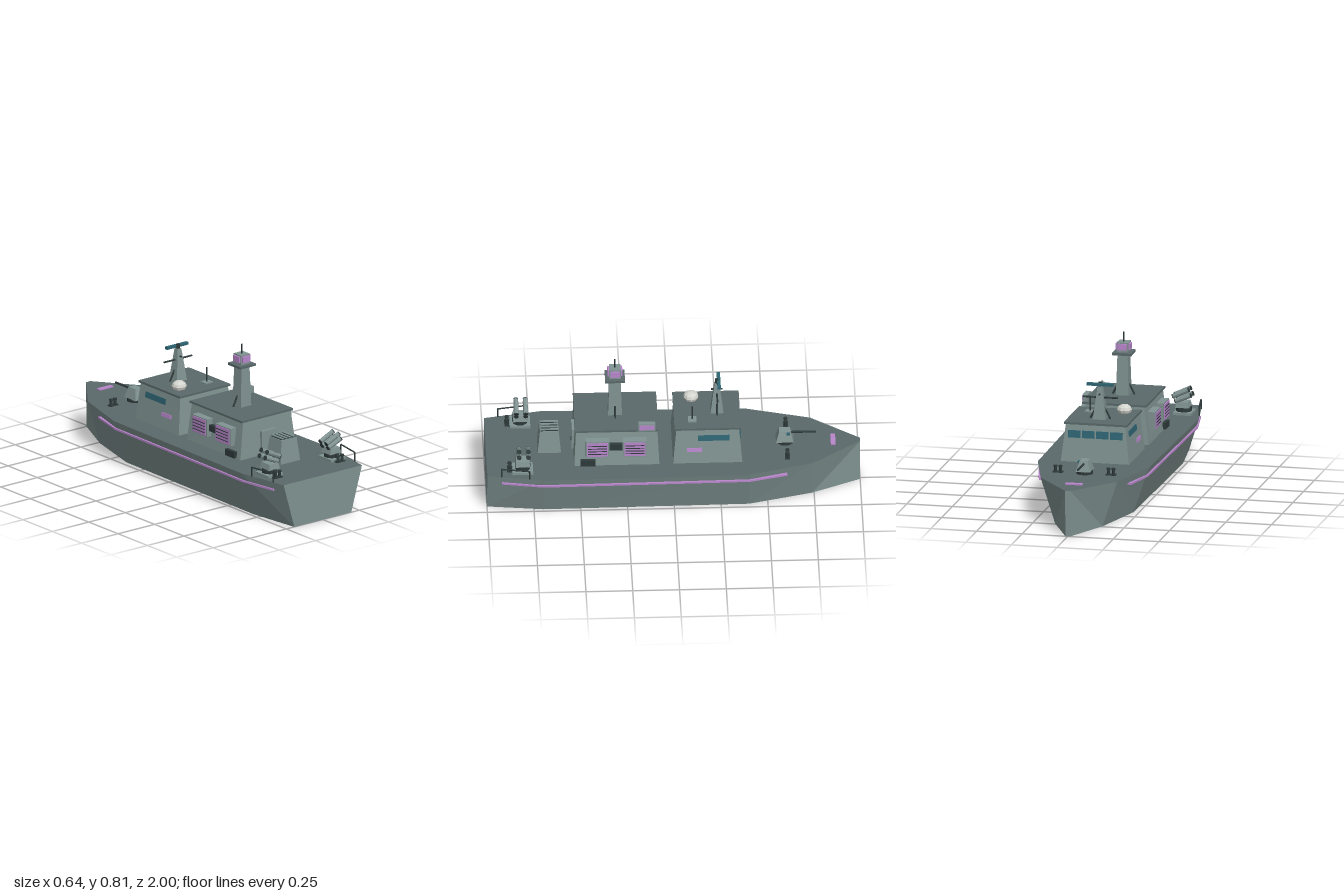
import * as THREE from 'three';

const mat = (name, color) => Object.assign(new THREE.MeshStandardMaterial({ color, flatShading: true }), { name });

export function createModel() {
  const ship = new THREE.Group();
  ship.name = 'patrolShip';
  const grey = mat('hull grey', 0x809392), deckMat = mat('deck grey', 0x5a696a);
  const dark = mat('dark metal', 0x2f3a3b), teal = mat('teal', 0x2f6674);
  const violet = mat('violet', 0xba87cd), white = mat('radome white', 0xd6d6d0);

  const add = (name, geo, m, x = 0, y = 0, z = 0, parent = ship) => {
    const mesh = new THREE.Mesh(geo, m);
    mesh.name = name;
    mesh.position.set(x, y, z);
    parent.add(mesh);
    return mesh;
  };
  // Box standing between two heights
  const box = (name, m, x, y0, y1, z, w, d, parent) =>
    add(name, new THREE.BoxGeometry(w, y1 - y0, d), m, x, (y0 + y1) / 2, z, parent);
  // Box whose top is narrower than its base
  const taper = (name, m, x, y0, y1, z, wb, db, wt, dt, parent) => {
    const mesh = box(name, m, x, y0, y1, z, wb, db, parent);
    const p = mesh.geometry.attributes.position;
    for (let i = 0; i < p.count; i++)
      if (p.getY(i) > 0) { p.setX(i, p.getX(i) * wt / wb); p.setZ(i, p.getZ(i) * dt / db); }
    mesh.geometry.computeVertexNormals();
    return mesh;
  };
  // Cylinder or square bar between two points
  const rod = (name, m, a, b, r, parent, sides = 8) => {
    const A = new THREE.Vector3(...a), B = new THREE.Vector3(...b), d = B.clone().sub(A);
    const mesh = add(name, new THREE.CylinderGeometry(r, r, d.length(), sides), m, 0, 0, 0, parent);
    mesh.position.copy(A).add(B).multiplyScalar(0.5);
    mesh.quaternion.setFromUnitVectors(new THREE.Vector3(0, 1, 0), d.normalize());
    return mesh;
  };

  // Hull stations, bow to stern: z, half width at bottom, half width at deck
  const st = [[-1, 0.012, 0.015], [-0.74, 0.13, 0.21], [-0.4, 0.22, 0.305], [0.7, 0.232, 0.32], [1, 0.195, 0.268]];
  const H = 0.25, hullPos = [], deckPos = [];
  const quad = (out, a, b, c, d) => out.push(...a, ...b, ...c, ...a, ...c, ...d);
  const pt = (s, side, top) => [side * s[top ? 2 : 1], top ? H : 0, s[0]];
  for (let i = 0; i < st.length - 1; i++) {
    const f = st[i], g = st[i + 1];
    quad(hullPos, pt(g, 1, 0), pt(f, 1, 0), pt(f, 1, 1), pt(g, 1, 1));
    quad(hullPos, pt(g, -1, 0), pt(g, -1, 1), pt(f, -1, 1), pt(f, -1, 0));
    // Mirror the diagonal crease on the port and starboard plating
    quad(hullPos, pt(f, -1, 0), pt(f, 1, 0), pt(g, 1, 0), pt(g, -1, 0));
    quad(deckPos, pt(g, -1, 1), pt(g, 1, 1), pt(f, 1, 1), pt(f, -1, 1));
  }
  const bow = st[0], stern = st[4];
  quad(hullPos, pt(stern, -1, 0), pt(stern, 1, 0), pt(stern, 1, 1), pt(stern, -1, 1));
  quad(hullPos, pt(bow, 1, 0), pt(bow, -1, 0), pt(bow, -1, 1), pt(bow, 1, 1));
  for (const [name, pos, m] of [['hull', hullPos, grey], ['deck', deckPos, deckMat]]) {
    const g = new THREE.BufferGeometry();
    g.setAttribute('position', new THREE.Float32BufferAttribute(pos, 3));
    g.computeVertexNormals();
    add(name, g, m);
  }
  box('bowPlate', violet, 0, 0.25, 0.257, -0.855, 0.094, 0.026);

  // Bridge
  taper('bridge', grey, 0, 0.25, 0.455, -0.18, 0.374, 0.37, 0.326, 0.335);
  box('bridgeRoof', deckMat, 0, 0.453, 0.464, -0.18, 0.345, 0.355);
  for (let i = 0; i < 4; i++)
    box('bridgeWindow', teal, (i - 1.5) * 0.077, 0.38, 0.42, -0.352, 0.068, 0.008).rotation.x = 0.097;
  for (const s of [-1, 1]) {
    box('sideWindow', teal, s * 0.17, 0.385, 0.417, -0.212, 0.008, 0.17).rotation.z = s * 0.121;
    box('sidePlate', violet, s * 0.179, 0.32, 0.342, -0.11, 0.008, 0.08).rotation.z = s * 0.121;
  }

  // Bridge mast, spars and radar bar
  taper('radarMast', grey, 0, 0.46, 0.64, -0.235, 0.07, 0.07, 0.026, 0.026);
  rod('radarShaft', dark, [0, 0.635, -0.235], [0, 0.665, -0.235], 0.01);
  box('radarBar', teal, 0, 0.645, 0.66, -0.245, 0.144, 0.018);
  rod('mastSpar', dark, [-0.095, 0.58, -0.235], [0.095, 0.58, -0.235], 0.005);
  rod('mastCrossSpar', dark, [0, 0.6, -0.265], [0, 0.6, -0.205], 0.005);

  // Radome and whip aerial
  rod('radomeBase', dark, [-0.1, 0.46, -0.1], [-0.1, 0.475, -0.1], 0.025);
  add('radome', new THREE.SphereGeometry(0.041, 10, 6), white, -0.1, 0.486, -0.1).scale.y = 0.72;
  box('aerialBase', grey, 0.088, 0.46, 0.47, -0.1, 0.05, 0.045);
  rod('aerial', dark, [0.088, 0.47, -0.1], [0.088, 0.55, -0.1], 0.004);

  // Aft deckhouse
  taper('deckhouse', grey, 0, 0.25, 0.457, 0.306, 0.38, 0.455, 0.326, 0.435);
  box('deckhouseRoof', deckMat, 0, 0.455, 0.466, 0.306, 0.352, 0.445);
  box('aftDoor', grey, 0, 0.265, 0.385, 0.532, 0.1, 0.02);
  box('doorHandle', dark, 0.03, 0.31, 0.33, 0.544, 0.007, 0.006);
  box('roofLocker', grey, 0.164, 0.46, 0.502, 0.145, 0.028, 0.09);
  box('lockerPlate', violet, 0.179, 0.468, 0.496, 0.145, 0.006, 0.08);
  for (const s of [-1, 1]) {
    for (const z of [0.21, 0.41]) {
      box('louverFrame', grey, s * 0.187, 0.317, 0.415, z, 0.046, 0.125);
      box('louverPanel', violet, s * 0.211, 0.323, 0.409, z, 0.006, 0.113);
      for (let i = 0; i < 4; i++)
        box('louverSlat', dark, s * 0.213, 0.338 + i * 0.017, 0.342 + i * 0.017, z, 0.007, 0.1);
    }
    box('ventBox', dark, s * 0.182, 0.35, 0.385, 0.31, 0.03, 0.07);
    box('sideLocker', dark, s * 0.19, 0.255, 0.29, 0.46, 0.03, 0.08);
  }

  // Sensor tower with braces
  taper('tower', grey, 0, 0.46, 0.69, 0.31, 0.07, 0.075, 0.056, 0.06);
  box('towerPlatform', deckMat, 0, 0.688, 0.701, 0.31, 0.106, 0.106);
  box('sensorCore', grey, 0, 0.7, 0.755, 0.31, 0.062, 0.062);
  for (const s of [-1, 1]) {
    box('sensorPanel', violet, s * 0.034, 0.714, 0.748, 0.31, 0.012, 0.05);
    box('sensorPanel', violet, 0, 0.714, 0.748, 0.31 + s * 0.034, 0.05, 0.012);
    rod('towerBrace', dark, [s * 0.06, 0.464, 0.31], [s * 0.03, 0.525, 0.31], 0.005);
    rod('mastBrace', dark, [s * 0.055, 0.464, -0.235], [s * 0.02, 0.53, -0.235], 0.005);
  }
  rod('towerAerial', dark, [0, 0.755, 0.31], [0, 0.808, 0.31], 0.004);

  // Funnel with grille
  taper('funnel', grey, 0, 0.25, 0.38, 0.662, 0.132, 0.125, 0.104, 0.1);
  box('funnelGrille', dark, 0, 0.379, 0.383, 0.662, 0.096, 0.092);
  for (let i = 0; i < 4; i++) box('grilleSlat', grey, (i - 1.5) * 0.025, 0.38, 0.387, 0.662, 0.012, 0.092);

  // Deck gun
  rod('gunBase', dark, [0, 0.25, -0.6], [0, 0.268, -0.6], 0.045, ship, 12);
  taper('gunTurret', grey, 0, 0.266, 0.325, -0.597, 0.08, 0.095, 0.045, 0.06);
  rod('gunBarrel', dark, [0, 0.308, -0.62], [0, 0.308, -0.765], 0.006);
  box('gunSight', teal, 0.028, 0.308, 0.322, -0.615, 0.012, 0.02);

  // Gear repeated on both sides
  for (const s of [-1, 1]) {
    const side = new THREE.Group();
    side.name = s > 0 ? 'leftGear' : 'rightGear';
    ship.add(side);
    for (const [cx, z] of [[0.145, -0.607], [0.213, 0.88]]) {
      box('bollardBase', dark, s * cx, 0.25, 0.256, z, 0.055, 0.026, side);
      for (const d of [-0.014, 0.014]) {
        rod('bollard', dark, [s * (cx + d), 0.25, z], [s * (cx + d), 0.285, z], 0.008, side);
        rod('bollardCap', dark, [s * (cx + d), 0.281, z], [s * (cx + d), 0.289, z], 0.011, side);
      }
    }

    // Launcher with four outward tilted tubes
    box('launcherBase', grey, s * 0.215, 0.25, 0.264, 0.81, 0.1, 0.11, side);
    rod('launcherRing', dark, [s * 0.213, 0.264, 0.81], [s * 0.213, 0.288, 0.81], 0.042, side, 10);
    taper('launcherMount', grey, s * 0.21, 0.286, 0.318, 0.81, 0.075, 0.08, 0.06, 0.07, side);
    for (const dz of [-0.025, 0.025])
      for (const [x0, y0] of [[0.172, 0.325], [0.16, 0.35]]) {
        const z = 0.805 + dz, x1 = x0 + 0.085, y1 = y0 + 0.035 - (y0 > 0.34 ? -0.002 : 0.003);
        const a = [s * x0, y0 - 0.003, z], b = [s * x1, y1, z];
        rod('launchTube', grey, a, b, 0.0125, side);
        const at = t => a.map((v, i) => v + (b[i] - v) * t);
        rod('tubeMuzzle', dark, at(0.98), at(1.03), 0.013, side);
        rod('tubeBreech', dark, at(-0.03), at(0.02), 0.013, side);
      }

    // Stern railing
    const r0 = [s * 0.279, 0.3, 0.925], r1 = [s * 0.305, 0.3, 0.775];
    rod('rail', dark, r0, r1, 0.004, side);
    for (const r of [r0, r1]) rod('railPost', dark, [r[0], 0.25, r[2]], r, 0.004, side);

    // Rubbing strake following the hull
    const strake = [[0.27, 0.92], [0.306, 0.7], [0.292, -0.4], [0.243, -0.6]];
    for (let i = 0; i < 3; i++) {
      const [xa, za] = strake[i], [xb, zb] = strake[i + 1];
      const len = Math.hypot(xb - xa, zb - za);
      const m = box('strake', violet, s * (xa + xb) / 2, 0.2, 0.21, (za + zb) / 2, 0.018, len + 0.004, side);
      m.rotation.y = Math.atan2(s * (xa - xb), za - zb);
    }
  }
  return ship;
}
